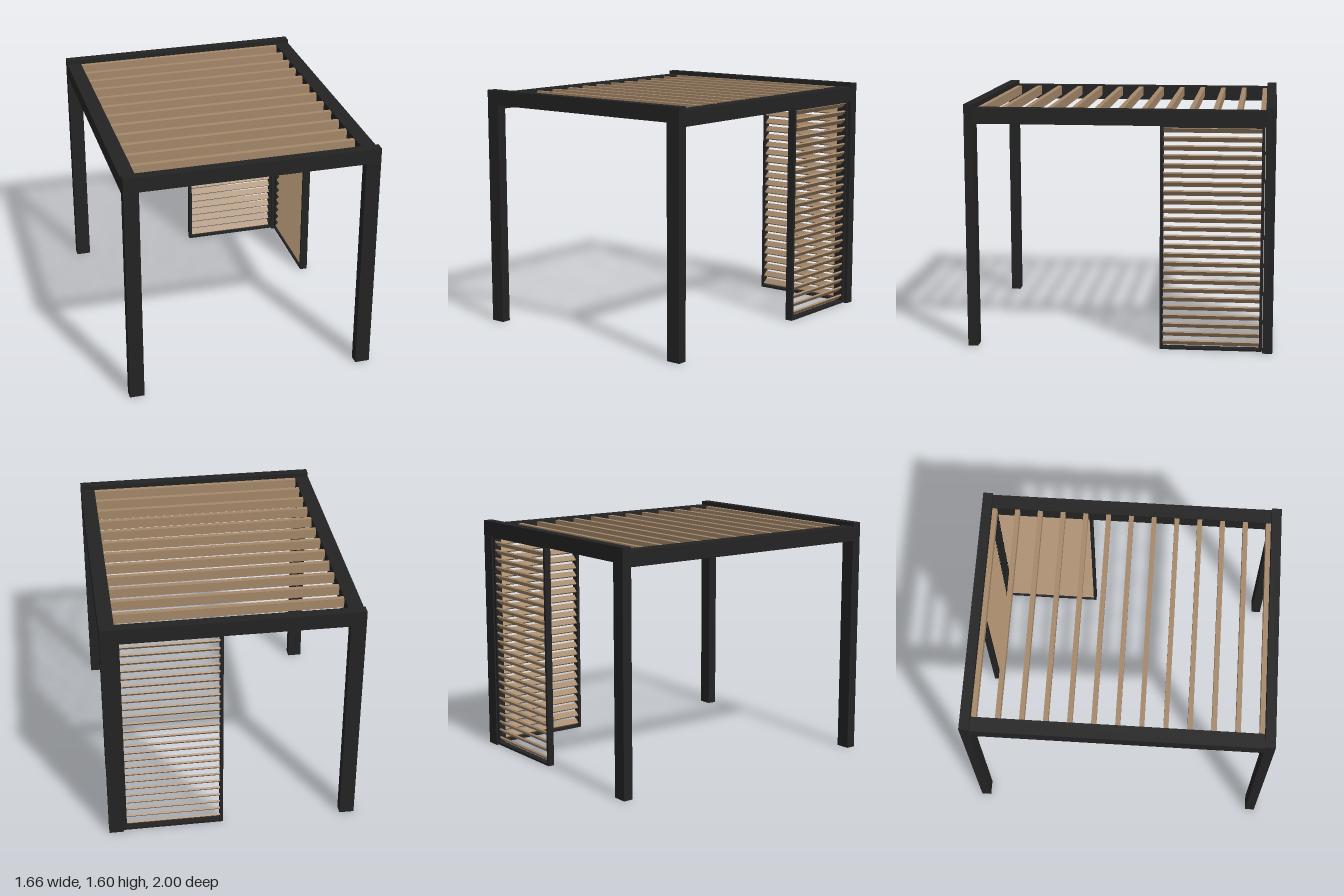
import * as THREE from 'three';

const frameMat = new THREE.MeshStandardMaterial({ color: 0x232323 });
frameMat.name = 'charcoal metal';
const woodMat = new THREE.MeshStandardMaterial({ color: 0xa5886a });
woodMat.name = 'tan wood';

function box(name, parent, mat, w, h, d, x, y, z) {
  const m = new THREE.Mesh(new THREE.BoxGeometry(w, h, d), mat);
  m.name = name;
  m.position.set(x, y, z);
  parent.add(m);
  return m;
}

// Framed louvre screen, centred on x and z, outer face towards -z
function screen(name, width, height, depth) {
  const g = new THREE.Group();
  g.name = name;
  const bar = 0.02, base = 0.005;
  const h = height - base, mid = base + h / 2;
  for (const s of [-1, 1]) {
    box('screenStile', g, frameMat, bar, h, depth, s * (width - bar) / 2, mid, 0);
  }
  box('screenBottomRail', g, frameMat, width - 2 * bar, 0.015, depth, 0, base + 0.0075, 0);
  box('screenTopRail', g, frameMat, width - 2 * bar, 0.012, depth, 0, height - 0.006, 0);
  // Tilted slats, inner edge low
  for (let i = 0; i < 25; i++) {
    const slat = box('screenSlat', g, woodMat, width - 2 * bar, 0.012, 0.044, 0, 0.048 + i * 0.0583, 0);
    slat.rotation.x = Math.PI / 4;
  }
  return g;
}

export function createModel() {
  const model = new THREE.Group();
  model.name = 'pergola';

  // Corner posts
  for (const sx of [-1, 1]) for (const sz of [-1, 1]) {
    box('post', model, frameMat, 0.098, 1.5, 0.065, sx * 0.782, 0.75, sz * 0.9675);
  }

  // Front and back beams sit on the posts, side beams lie slightly lower
  for (const s of [-1, 1]) {
    box(s > 0 ? 'frontBeam' : 'backBeam', model, frameMat, 1.662, 0.1, 0.065, 0, 1.55, s * 0.9675);
    box(s > 0 ? 'leftBeam' : 'rightBeam', model, frameMat, 0.097, 0.1, 1.87, s * 0.7825, 1.525, 0);
  }

  // Roof slats
  for (let i = 0; i < 13; i++) {
    box('roofSlat', model, woodMat, 1.468, 0.064, 0.032, 0, 1.538, (i - 6) * 0.1527);
  }

  // Two louvre screens meeting at one back corner
  const back = screen('backScreen', 0.667, 1.5, 0.044);
  back.position.set(0.3985, 0, -0.967);
  const side = screen('sideScreen', 0.667, 1.475, 0.052);
  side.rotation.y = -Math.PI / 2;
  side.position.set(0.782, 0, -0.5985);
  model.add(back, side);

  return model;
}
